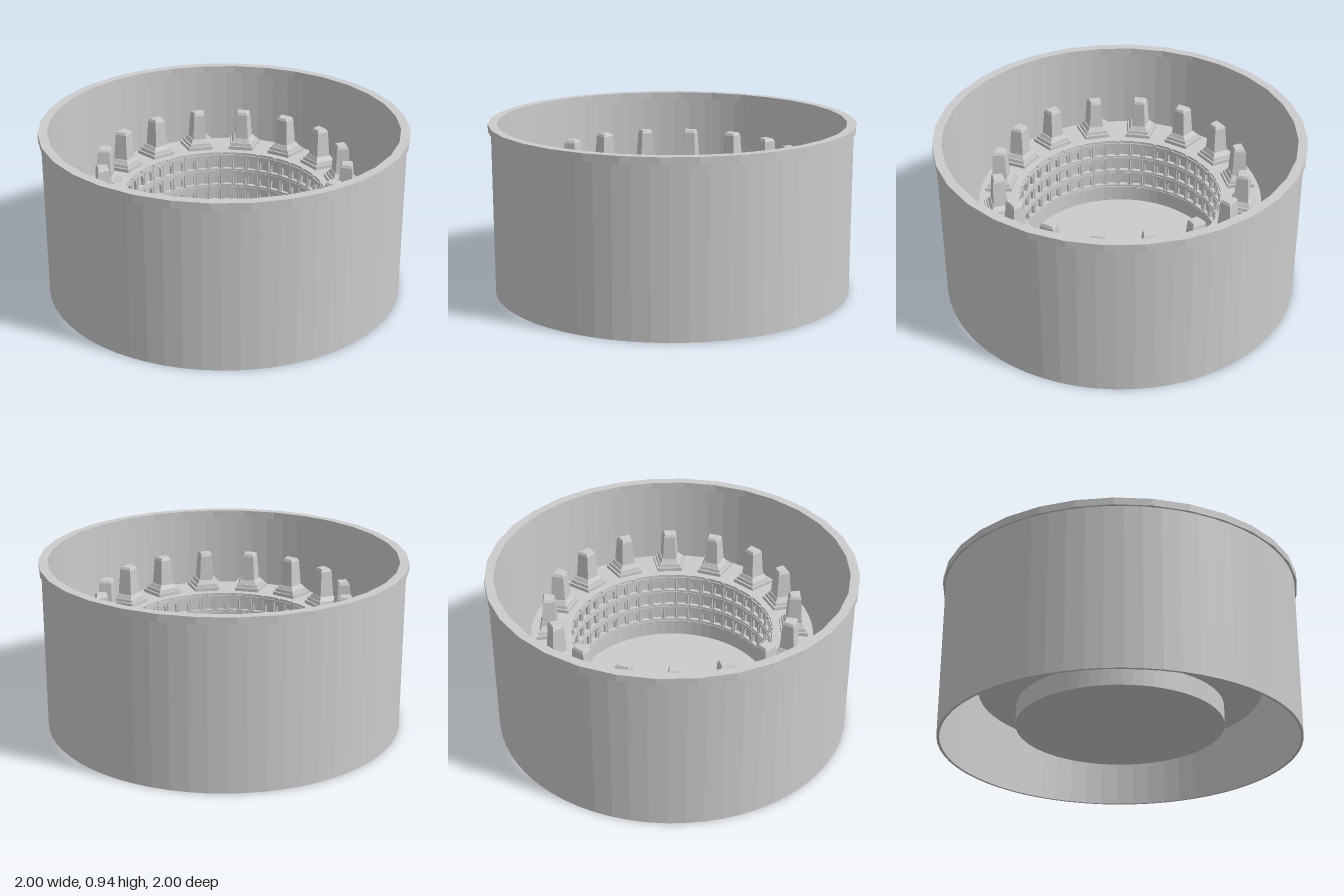
import * as THREE from 'three';
import { mergeGeometries } from 'three/addons/utils/BufferGeometryUtils.js';

const material = new THREE.MeshStandardMaterial({ color: 0xcccccc, flatShading: true });

function addMesh(parent, name, geometry) {
  const mesh = new THREE.Mesh(geometry, material);
  mesh.name = name;
  parent.add(mesh);
  return mesh;
}

// Revolved profile with a flat facet centred on each axis
function lathe(points, sides) {
  const profile = points.map(([r, y]) => new THREE.Vector2(r, y));
  return new THREE.LatheGeometry(profile, sides).rotateY(Math.PI / sides);
}

// Closed band of rectangular section
function band(inner, outer, y0, y1, sides) {
  return lathe([[inner, y0], [outer, y0], [outer, y1], [inner, y1], [inner, y0]], sides);
}

// Copies of a piece around the vertical axis
function around(piece, count, offset = 0) {
  const copies = [];
  for (let i = 0; i < count; i++) {
    copies.push(piece.clone().rotateY(((i + offset) / count) * Math.PI * 2));
  }
  return mergeGeometries(copies);
}

// Block narrowing upward, with its outer (+z) side wider than its inner side
function wedgeBlock(width, depth, y0, y1, topScale) {
  const geometry = new THREE.BoxGeometry(width, y1 - y0, depth);
  const p = geometry.attributes.position;
  for (let i = 0; i < p.count; i++) {
    const s = p.getY(i) > 0 ? topScale : 1;
    const flare = p.getZ(i) > 0 ? 1.14 : 0.86;
    p.setXYZ(i, p.getX(i) * s * flare, p.getY(i), p.getZ(i) * s);
  }
  return geometry.translate(0, (y0 + y1) / 2, 0);
}

// One wall bay with an arched opening
function archBay(width, height, depth) {
  const w = width / 2, r = width * 0.3, spring = height * 0.52, sill = height * 0.12;
  const shape = new THREE.Shape();
  shape.moveTo(-w, 0).lineTo(w, 0).lineTo(w, height).lineTo(-w, height).closePath();
  const hole = new THREE.Path();
  hole.moveTo(-r, sill).lineTo(-r, spring);
  hole.absarc(0, spring, r, Math.PI, 0, true);
  hole.lineTo(r, sill).closePath();
  shape.holes.push(hole);
  return new THREE.ExtrudeGeometry(shape, { depth, bevelEnabled: false, curveSegments: 6 });
}

export function createModel() {
  const model = new THREE.Group();
  model.name = 'arena';

  // Open outer drum and its overhanging rim
  addMesh(model, 'outerWall', band(0.975, 0.99, 0, 0.91, 64));
  addMesh(model, 'rim', band(0.955, 1 / Math.cos(Math.PI / 32), 0.9, 0.94, 32));

  // Bowl: base, sloping underside, outer wall, deck, recessed inner wall and floor
  addMesh(model, 'bowl', lathe([
    [0, 0.1], [0.57, 0.1], [0.57, 0.21], [0.78, 0.29], [0.78, 0.54],
    [0.56, 0.54], [0.56, 0.525], [0.59, 0.525], [0.59, 0.222],
    [0.56, 0.215], [0.56, 0.12], [0, 0.12],
  ], 64));

  // Three tiers of arches, each with half columns, a ledge and a parapet
  const bays = 48, radius = 0.564, tierHeight = 0.102;
  const arcade = new THREE.Group();
  arcade.name = 'arcade';
  model.add(arcade);
  const bay = archBay(2 * radius * Math.tan(Math.PI / bays), tierHeight, 0.015).translate(0, 0, radius);
  const column = new THREE.CylinderGeometry(0.005, 0.006, tierHeight, 6).translate(0, tierHeight / 2, radius);
  const bayRing = around(bay, bays);
  const columnRing = around(column, bays, 0.5);
  for (let tier = 0; tier < 3; tier++) {
    const y = 0.22 + tier * tierHeight;
    addMesh(arcade, 'arches', bayRing).position.y = y;
    addMesh(arcade, 'columns', columnRing).position.y = y;
    addMesh(arcade, 'ledge', band(0.554, 0.57, y + tierHeight - 0.012, y + tierHeight, bays));
    addMesh(arcade, 'parapet', band(0.558, 0.57, y, y + 0.012, bays));
  }

  // Brackets under the deck edge
  const bracket = new THREE.BoxGeometry(0.014, 0.02, 0.012).translate(0, 0.53, 0.558);
  addMesh(model, 'brackets', around(bracket, 32));

  // Sixteen tapered pillars on stepped plinths
  const pillar = mergeGeometries([
    wedgeBlock(0.165, 0.145, 0.54, 0.56, 1),
    wedgeBlock(0.145, 0.125, 0.56, 0.578, 0.95),
    wedgeBlock(0.125, 0.108, 0.578, 0.6, 0.8),
    wedgeBlock(0.09, 0.08, 0.6, 0.745, 0.8),
    wedgeBlock(0.072, 0.064, 0.745, 0.76, 0.8),
  ]).translate(0, 0, 0.672);
  for (let i = 0; i < 16; i++) {
    addMesh(model, 'pillar', pillar).rotation.y = (i / 16) * Math.PI * 2;
  }
  return model;
}
